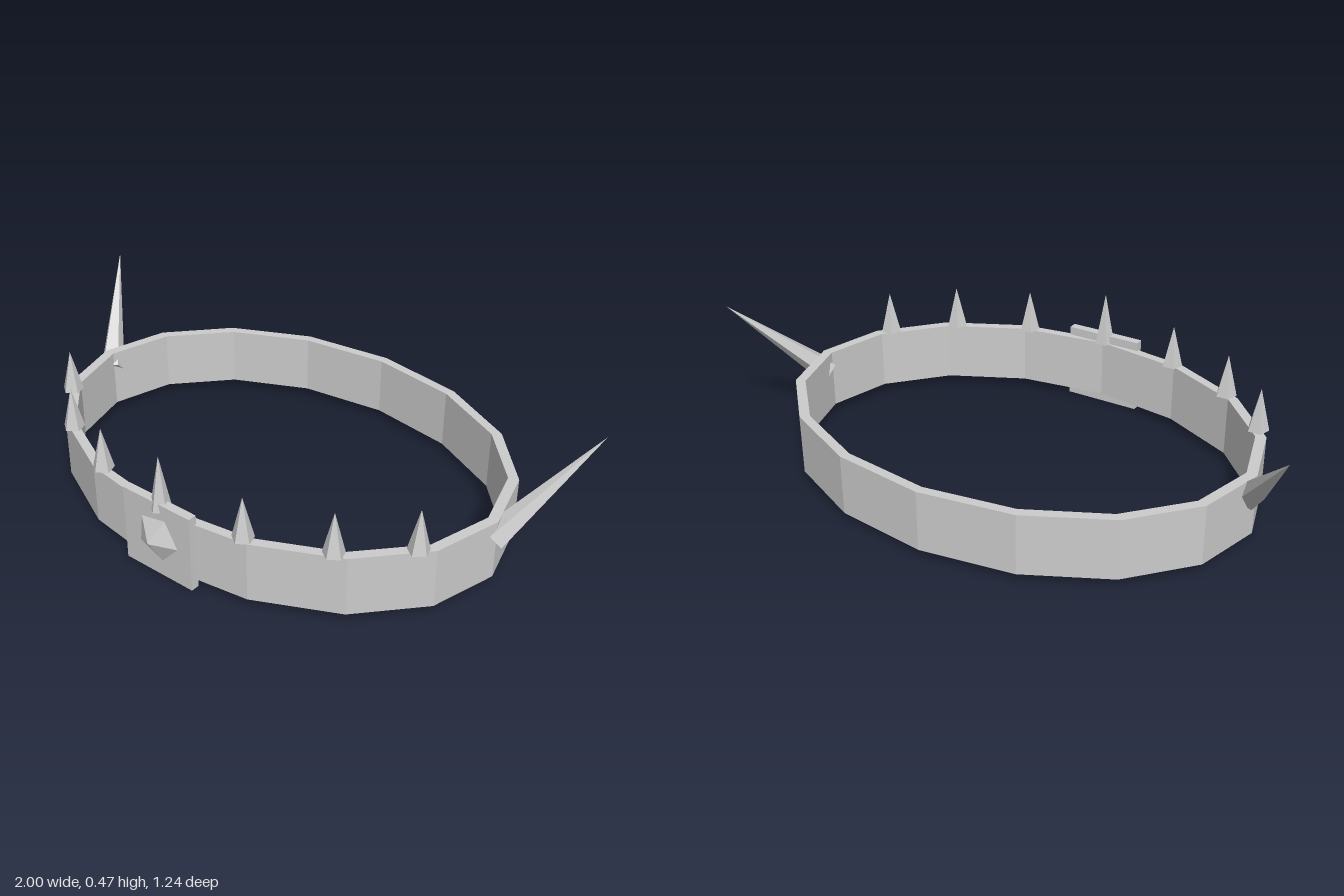
import * as THREE from 'three';

const material = new THREE.MeshStandardMaterial({ color: 0xcccccc, flatShading: true });
const SIDES = 16;
const BAND_Z = -0.022;
const BAND_TOP = 0.235;

function ellipsePoints(rx, rz) {
  return Array.from({ length: SIDES }, (_, i) => {
    const a = (i / SIDES) * Math.PI * 2;
    return new THREE.Vector2(rx * Math.cos(a), rz * Math.sin(a));
  });
}

function addMesh(parent, name, geometry) {
  const mesh = new THREE.Mesh(geometry, material);
  mesh.name = name;
  parent.add(mesh);
  return mesh;
}

// Five-sided spike running from the centre of its base to its tip
function addSpike(parent, name, base, tip, radius, turn = 0) {
  const from = new THREE.Vector3(...base);
  const axis = new THREE.Vector3(...tip).sub(from);
  const height = axis.length();
  const geometry = new THREE.ConeGeometry(radius, height, 5);
  geometry.rotateY(turn);
  geometry.translate(0, height / 2, 0);
  const mesh = addMesh(parent, name, geometry);
  mesh.position.copy(from);
  mesh.quaternion.setFromUnitVectors(new THREE.Vector3(0, 1, 0), axis.normalize());
  return mesh;
}

export function createModel() {
  const crown = new THREE.Group();
  crown.name = 'spikedCirclet';

  // Faceted oval band
  const outline = new THREE.Shape(ellipsePoints(0.82, 0.597));
  outline.holes.push(new THREE.Path(ellipsePoints(0.785, 0.565)));
  const bandGeometry = new THREE.ExtrudeGeometry(outline, { depth: BAND_TOP - 0.03, bevelEnabled: false });
  bandGeometry.rotateX(-Math.PI / 2);
  bandGeometry.translate(0, 0.03, BAND_Z);
  addMesh(crown, 'band', bandGeometry);

  // Front plate with its faceted stud
  const plate = addMesh(crown, 'frontPlate', new THREE.BoxGeometry(0.27, 0.265, 0.03));
  plate.position.set(0, 0.1325, 0.562);
  addSpike(crown, 'frontStud', [0, 0.137, 0.575], [0, 0.137, 0.62], 0.086, 0.2);

  // Small upright spikes along the front rim
  addSpike(crown, 'centreSpike', [0, BAND_TOP, 0.555], [0, 0.42, 0.555], 0.035);
  for (const side of [-1, 1]) {
    for (const [x, z] of [[0.287, 0.513], [0.535, 0.405], [0.715, 0.24]]) {
      addSpike(crown, 'rimSpike', [side * x, BAND_TOP, z], [side * x, 0.38, z], 0.036);
    }
    // Long horn swept up, out and back
    addSpike(crown, 'sideHorn', [side * 0.805, 0.165, -0.03], [side, 0.47, -0.293], 0.045);
  }
  return crown;
}
